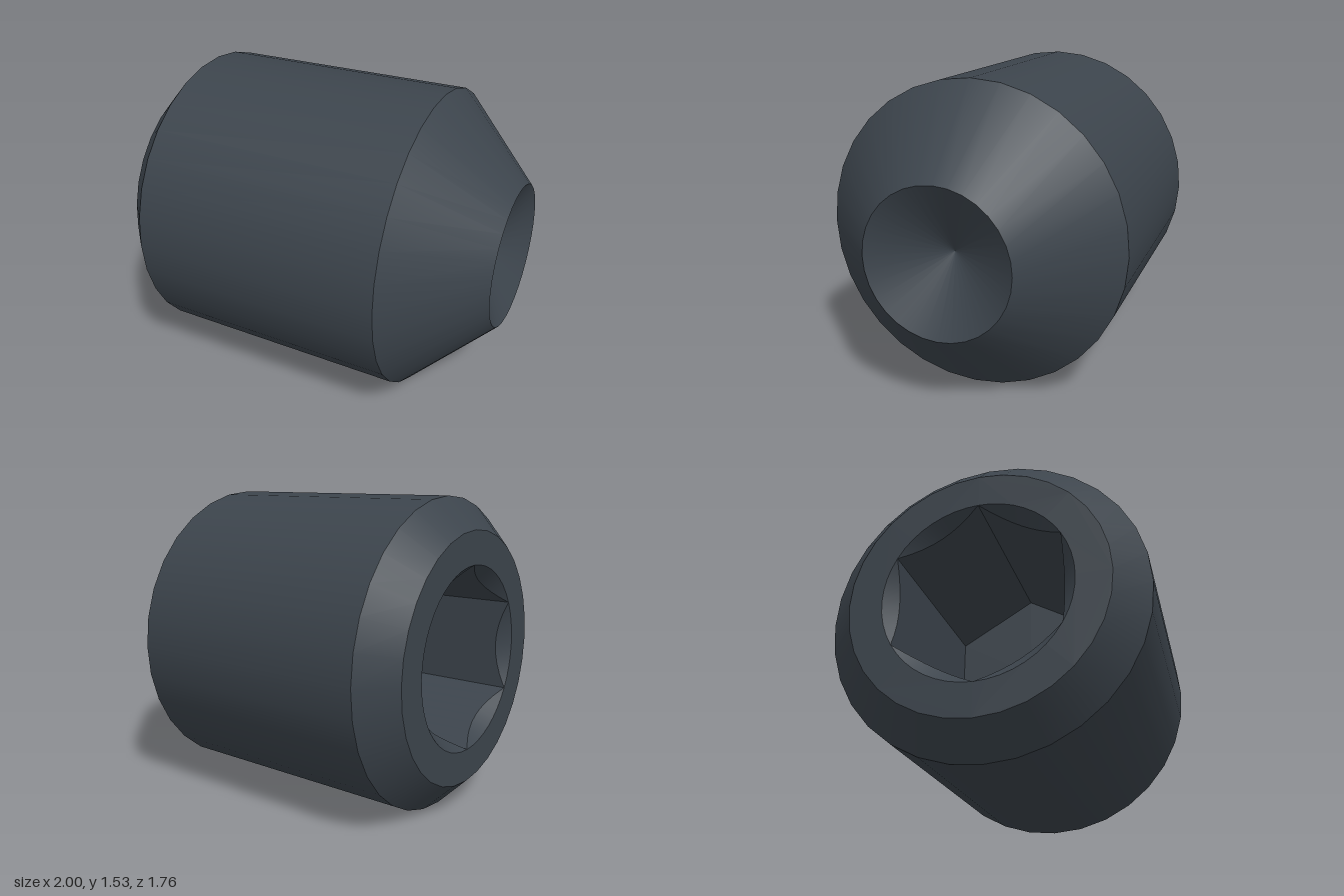
import * as THREE from 'three';
import { toCreasedNormals } from 'three/addons/utils/BufferGeometryUtils.js';

const SIDES = 32;
const BACK = -0.889;                     // socket end along the screw axis
const HEX_R = 0.45, HEX_FLAT = HEX_R * Math.cos(Math.PI / 6);
const SOCKET_FLOOR = 0.05;
const STEPS = 8;                         // divisions per hex side

const polar = (r, phi, y) => new THREE.Vector3(r * Math.sin(phi), y, r * Math.cos(phi));

// Points round the socket; the rule receives the angle and the hex radius there
function hexLoop(rule) {
  return Array.from({ length: 6 * STEPS }, (_, i) => {
    const side = Math.floor(i / STEPS);
    const off = ((i % STEPS) / STEPS - 0.5) * Math.PI / 3;
    return rule(side * Math.PI / 3 + off, HEX_FLAT / Math.cos(off));
  });
}

// Skin between successive closed loops
function skin(loops) {
  const pts = [];
  for (let j = 0; j < loops.length - 1; j++) {
    const p = loops[j], q = loops[j + 1];
    p.forEach((a, i) => {
      const n = (i + 1) % p.length;
      pts.push(a, p[n], q[i], q[n], q[i], p[n]);
    });
  }
  return toCreasedNormals(new THREE.BufferGeometry().setFromPoints(pts), 0.5);
}

export function createModel() {
  const steel = new THREE.MeshStandardMaterial({ color: 0x3c444c });
  steel.name = 'dark steel';

  const model = new THREE.Group();
  model.name = 'setScrew';
  const screw = new THREE.Group();
  screw.name = 'screwBody';
  model.add(screw);

  const add = (name, geometry) => {
    const mesh = new THREE.Mesh(geometry, steel);
    mesh.name = name;
    screw.add(mesh);
  };

  // Turned bands, each smooth with sharp edges between them
  const profile = [[0.613, BACK], [0.765, -0.74], [0.765, 0.543], [0.363, 0.947], [0, 0.737]]
    .map(([r, y]) => new THREE.Vector2(r, y));
  ['backChamfer', 'shank', 'pointCone', 'cupRecess'].forEach((name, i) =>
    add(name, new THREE.LatheGeometry([profile[i], profile[i + 1]], SIDES)));

  // Flat rim round the socket
  const rim = new THREE.Shape(Array.from({ length: SIDES }, (_, i) => {
    const a = i / SIDES * Math.PI * 2;
    return new THREE.Vector2(0.613 * Math.sin(a), 0.613 * Math.cos(a));
  }));
  rim.holes.push(new THREE.Path(hexLoop(phi =>
    new THREE.Vector2(HEX_R * Math.sin(phi), HEX_R * Math.cos(phi)))));
  add('socketRim', new THREE.ShapeGeometry(rim).rotateX(Math.PI / 2));
  screw.getObjectByName('socketRim').position.y = BACK;

  // Hex socket walls with a conical countersink at the mouth
  add('hexSocket', skin([
    hexLoop((phi, r) => polar(r, phi, SOCKET_FLOOR)),
    hexLoop((phi, r) => polar(r, phi, BACK + HEX_R - r)),
    hexLoop(phi => polar(HEX_R, phi, BACK)),
  ]));
  add('socketFloor', new THREE.CircleGeometry(HEX_R, 6).rotateX(Math.PI / 2).translate(0, SOCKET_FLOOR, 0));

  // Lay the axis down and turn it slightly
  screw.rotation.set(0, -THREE.MathUtils.degToRad(12), -Math.PI / 2);
  screw.position.set(-0.003, 0.765, 0.017);
  return model;
}
